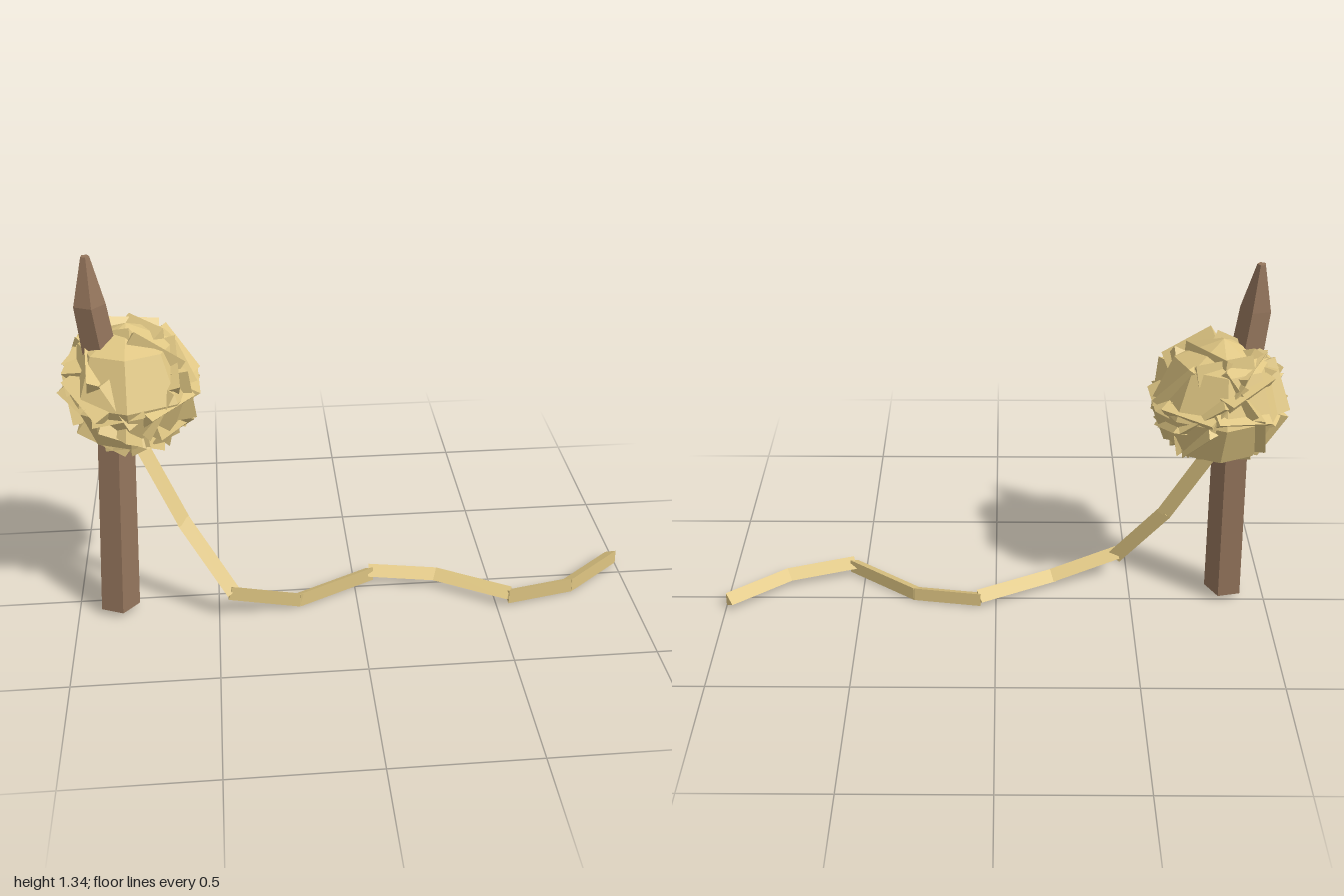
import * as THREE from 'three';

const V = (x, y, z) => new THREE.Vector3(x, y, z);

function seeded(seed) {
  return () => {
    seed = (seed * 16807) % 2147483647;
    return seed / 2147483647;
  };
}

// Three-sided rope piece between two points, rolled about its own length
function ropePiece(a, b, radius, roll, material) {
  const geo = new THREE.CylinderGeometry(radius, radius, a.distanceTo(b) + 0.01, 3, 1, false, Math.PI / 2);
  geo.rotateX(Math.PI / 2);
  const mesh = new THREE.Mesh(geo, material);
  mesh.position.copy(a).add(b).multiplyScalar(0.5);
  mesh.lookAt(b);
  mesh.rotateZ(roll);
  return mesh;
}

// Five-sided stake: each row of a cylinder is moved to its own centre and radius
function stakeGeometry() {
  const rows = [
    { c: V(-0.856, 0.03, 0.054), r: 0.072 },
    { c: V(-0.821, 0.74, 0.014), r: 0.066 },
    { c: V(-0.868, 1.19, 0.049), r: 0.055 },
    { c: V(-0.868, 1.35, 0.042), r: 0.015 },
  ];
  const geo = new THREE.CylinderGeometry(1, 1, 3, 5, 3, false, Math.PI / 15);
  const p = geo.attributes.position;
  for (let i = 0; i < p.count; i++) {
    const { c, r } = rows[Math.round(p.getY(i) + 1.5)];
    p.setXYZ(i, c.x + p.getX(i) * r, c.y, c.z + p.getZ(i) * r);
  }
  geo.computeVertexNormals();
  return geo;
}

export function createModel() {
  const model = new THREE.Group();
  const wood = new THREE.MeshStandardMaterial({ name: 'brown wood', color: 0x94755c, flatShading: true });
  const rope = new THREE.MeshStandardMaterial({ name: 'tan rope', color: 0xdfc683, flatShading: true });
  const random = seeded(4271);

  const stake = new THREE.Mesh(stakeGeometry(), wood);
  stake.name = 'stake';
  model.add(stake);

  // Ball of rope: faceted core wrapped in tilted loops of flat pieces facing outward
  const ball = new THREE.Group();
  ball.name = 'ropeBall';
  ball.position.set(-0.76, 0.87, 0);
  const core = new THREE.Mesh(new THREE.SphereGeometry(0.228, 8, 4), rope);
  core.name = 'ballCore';
  ball.add(core);
  const loops = 6, sides = 7, radius = 0.2;
  for (let i = 0; i < loops; i++) {
    const loop = new THREE.Group();
    loop.name = 'ropeLoop';
    loop.rotation.set(random() * Math.PI, random() * Math.PI, random() * Math.PI);
    for (let k = 0; k < sides; k++) {
      const a = (k / sides) * Math.PI * 2;
      const b = a + (Math.PI * 2) / sides;
      const r = radius + (random() - 0.5) * 0.02;
      const from = V(Math.cos(a) * r, (random() - 0.5) * 0.06, Math.sin(a) * r);
      const to = V(Math.cos(b) * r, (random() - 0.5) * 0.06, Math.sin(b) * r);
      // Clockwise travel keeps the ridge inside and the flat side out
      loop.add(ropePiece(to, from, 0.042, Math.PI + (random() - 0.5) * 0.5, rope));
    }
    ball.add(loop);
  }
  model.add(ball);

  // Loose end hanging from the ball and winding along the ground
  const path = [
    V(-0.76, 0.67, 0), V(-0.615, 0.36, 0.06), V(-0.455, 0.11, 0.14), V(-0.21, 0.035, 0.095),
    V(0.06, 0.04, -0.04), V(0.3, 0.035, 0), V(0.545, 0.043, 0.16), V(0.785, 0.034, 0.095),
    V(0.985, 0.04, -0.064),
  ];
  const tail = new THREE.Group();
  tail.name = 'trailingRope';
  for (let i = 0; i < path.length - 1; i++) {
    // The ridge faces forward on pieces running forward, otherwise back
    const roll = path[i + 1].z > path[i].z ? Math.PI : 0;
    tail.add(ropePiece(path[i], path[i + 1], 0.031, roll, rope));
  }
  model.add(tail);

  return model;
}
